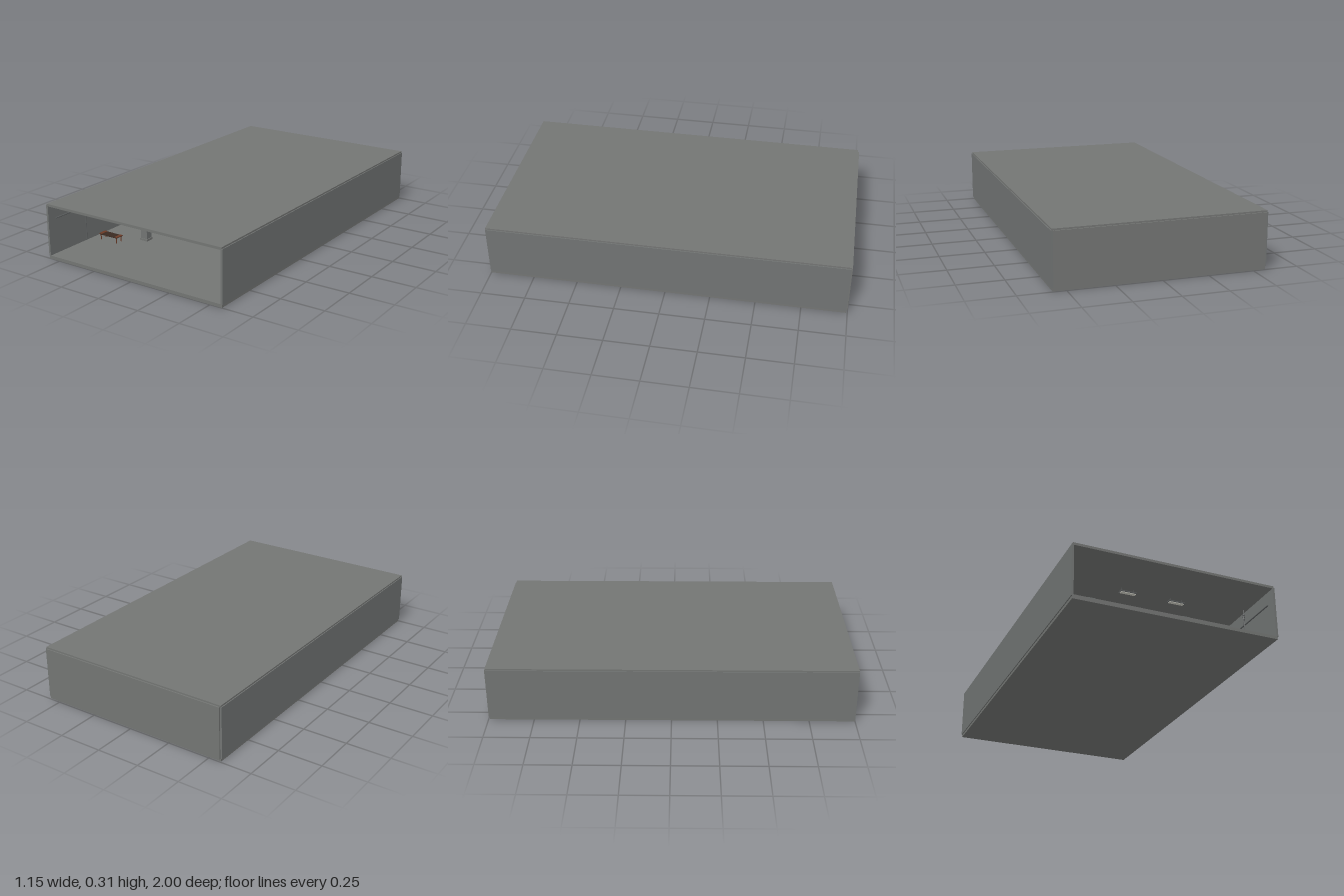
import * as THREE from 'three';

const mat = (name, color) => {
  const m = new THREE.MeshStandardMaterial({ color });
  m.name = name;
  return m;
};

export function createModel() {
  const concrete = mat('concrete', 0x737573);
  const wallGrey = mat('wall grey', 0x717473);
  const steel = mat('steel', 0x5c5f60);
  const pale = mat('pale paint', 0xd6d6cc);
  const rust = mat('rust brown', 0x6b3a26);
  const card = mat('box brown', 0x67402f);
  const darkWood = mat('dark brown', 0x3a2a22);

  const model = new THREE.Group();
  model.name = 'storageHall';

  // Box given by its limits on each axis
  function block(parent, name, material, x0, x1, y0, y1, z0, z1) {
    const mesh = new THREE.Mesh(new THREE.BoxGeometry(x1 - x0, y1 - y0, z1 - z0), material);
    mesh.position.set((x0 + x1) / 2, (y0 + y1) / 2, (z0 + z1) / 2);
    mesh.name = name;
    parent.add(mesh);
    return mesh;
  }
  function group(name) {
    const g = new THREE.Group();
    g.name = name;
    model.add(g);
    return g;
  }

  // Shell, open at the front
  const shell = group('shell');
  block(shell, 'floor', concrete, -0.57, 0.57, 0, 0.018, -0.993, 1);
  block(shell, 'roof', concrete, -0.57, 0.57, 0.301, 0.315, -0.993, 1);
  block(shell, 'backWall', concrete, -0.565, 0.565, 0.014, 0.306, -1, -0.985);
  for (const s of [-1, 1]) {
    const x = [s * 0.563, s * 0.575].sort((a, b) => a - b);
    block(shell, 'sideWall', wallGrey, x[0], x[1], 0.016, 0.306, -0.993, 1);
  }

  // Cross beams and columns
  const frame = group('frame');
  for (const z of [0.52, 0, -0.52]) {
    block(frame, 'ceilingBeam', concrete, -0.562, 0.562, 0.272, 0.301, z - 0.018, z + 0.018);
    for (const x of [-0.285, 0.283]) {
      block(frame, 'column', wallGrey, x - 0.021, x + 0.021, 0.018, 0.301, z - 0.021, z + 0.021);
      block(frame, 'columnBase', concrete, x - 0.025, x + 0.025, 0.018, 0.03, z - 0.025, z + 0.025);
    }
  }

  // Door with lintel and lamp on the back wall
  const door = group('backDoor');
  block(door, 'doorLeaf', pale, -0.04, 0.037, 0.018, 0.18, -0.986, -0.978);
  block(door, 'doorLintel', steel, -0.046, 0.043, 0.18, 0.186, -0.986, -0.97);
  block(door, 'doorLamp', pale, -0.028, 0.025, 0.2, 0.213, -0.986, -0.976);
  block(door, 'lampCap', steel, -0.03, 0.027, 0.213, 0.217, -0.986, -0.972);

  // Hanging ceiling lamps
  const lamps = group('ceilingLamps');
  for (const z of [0.7, 0.25, -0.25, -0.7]) {
    for (const x of [-0.143, 0.141]) {
      block(lamps, 'lampHousing', steel, x - 0.047, x + 0.047, 0.275, 0.281, z - 0.015, z + 0.015);
      block(lamps, 'lampTube', pale, x - 0.043, x + 0.043, 0.272, 0.275, z - 0.01, z + 0.01);
      for (const dx of [-0.035, 0.035])
        block(lamps, 'lampHanger', steel, x + dx - 0.001, x + dx + 0.001, 0.281, 0.301, z - 0.001, z + 0.001);
    }
  }

  // Pipes along the side walls with drops and valves
  const pipes = group('pipes');
  function pipe(name, r, length, x, y, z, alongZ) {
    const mesh = new THREE.Mesh(new THREE.CylinderGeometry(r, r, length, 10), steel);
    mesh.position.set(x, y, z);
    if (alongZ) mesh.rotation.x = Math.PI / 2;
    mesh.name = name;
    pipes.add(mesh);
  }
  for (const s of [-1, 1]) {
    pipe('wallPipe', 0.004, 1.9, s * 0.558, 0.222, 0, true);
    for (const z of [0.74, -0.2]) {
      pipe('dropPipe', 0.003, 0.255, s * 0.535, 0.165, z, false);
      for (const y of [0.235, 0.25, 0.263]) pipe('valve', 0.006, 0.006, s * 0.535, y, z, false);
    }
  }

  // Carton with a pale label on its front
  const cartons = group('cartons');
  function carton(x, y, z, w, h, d = w) {
    block(cartons, 'carton', card, x - w / 2, x + w / 2, y, y + h, z - d / 2, z + d / 2);
    block(cartons, 'cartonLabel', pale, x + w * 0.05, x + w * 0.33, y + h * 0.48, y + h * 0.75,
      z + d / 2, z + d / 2 + 0.001);
  }

  // Storage racks, one along each side wall
  const rackLevels = [0.026, 0.084, 0.14];
  for (const s of [-1, 1]) {
    const rack = group(s < 0 ? 'rightRack' : 'leftRack');
    const x = s * 0.47;
    for (const z of [0.15, -0.1, -0.35, -0.6]) {
      for (const dx of [-0.075, 0.075])
        block(rack, 'rackPost', rust, x + dx - 0.003, x + dx + 0.003, 0.018, 0.188, z - 0.003, z + 0.003);
    }
    for (const y of rackLevels)
      block(rack, 'rackShelf', rust, x - 0.076, x + 0.076, y, y + 0.008, -0.604, 0.154);
    for (const z of [0.05, -0.22, -0.48]) {
      carton(s < 0 ? -0.503 : 0.5, 0.034, z, 0.04, 0.034);
      carton(s < 0 ? -0.51 : 0.428, 0.092, z, 0.037, 0.029);
      carton(s < 0 ? -0.438 : 0.5, 0.148, z, 0.04, 0.031);
    }
  }

  // Loose cartons on the floor
  carton(-0.214, 0.018, -0.45, 0.052, 0.046);
  carton(-0.171, 0.018, -0.4, 0.034, 0.03);
  carton(0.372, 0.018, 0.3, 0.046, 0.046);
  carton(0.428, 0.036, 0.22, 0.052, 0.046);
  carton(0.428, 0.018, 0.22, 0.046, 0.018);
  carton(-0.436, 0.018, 0.3, 0.052, 0.046);
  carton(-0.386, 0.018, 0.35, 0.03, 0.03);

  // Low bench near the front
  const bench = group('lowBench');
  block(bench, 'benchTop', darkWood, -0.505, -0.382, 0.048, 0.053, 0.615, 0.665);
  for (const x of [-0.5, -0.387]) {
    block(bench, 'benchEnd', rust, x - 0.01, x + 0.01, 0.053, 0.055, 0.615, 0.665);
    for (const z of [0.62, 0.66])
      block(bench, 'benchLeg', rust, x - 0.002, x + 0.002, 0.018, 0.048, z - 0.002, z + 0.002);
  }

  return model;
}
